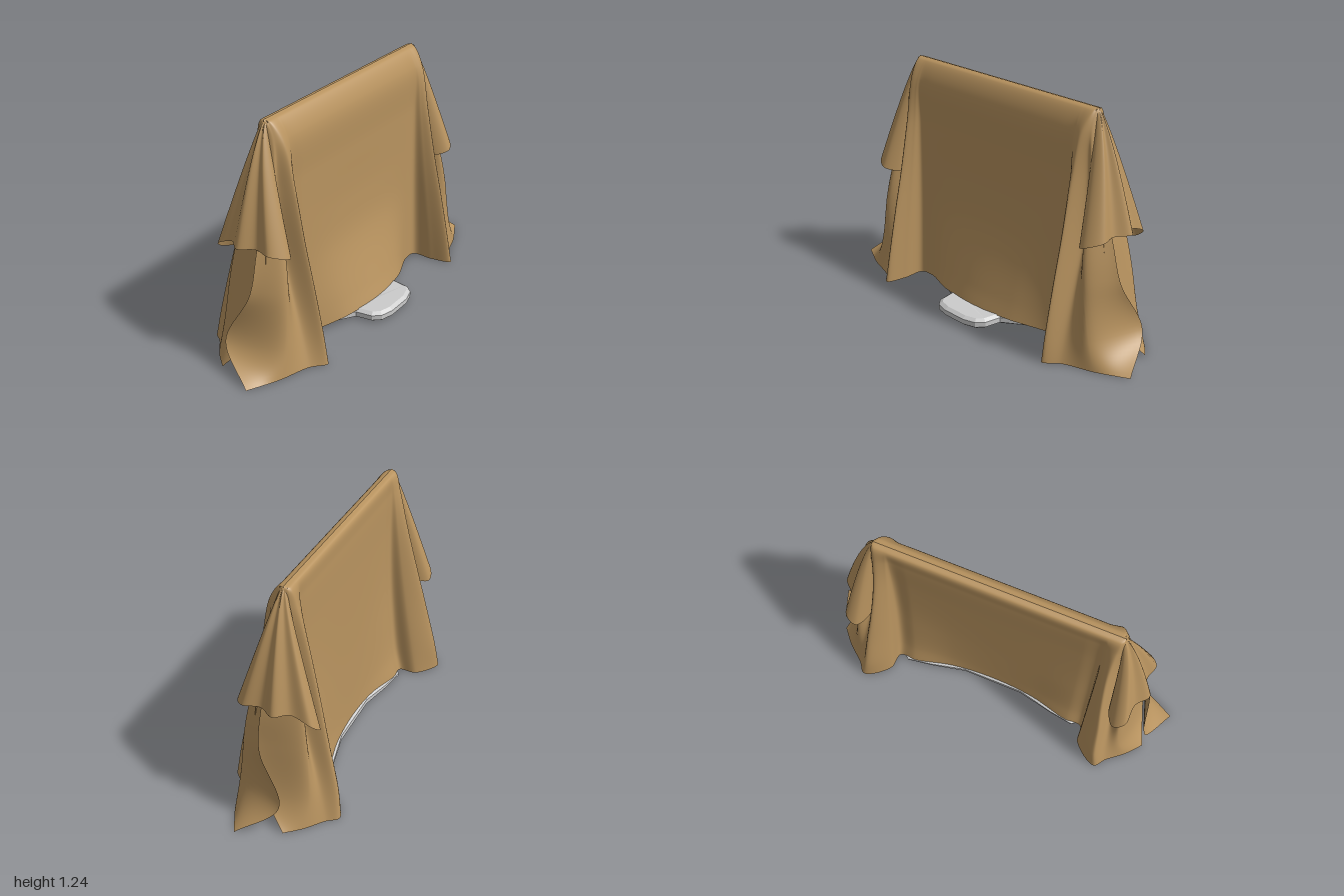
import * as THREE from 'three';

const V = (x, y, z) => new THREE.Vector3(x, y, z);
const cloth = new THREE.MeshStandardMaterial({ color: 0xb8935f, side: THREE.DoubleSide });
const grey = new THREE.MeshStandardMaterial({ color: 0xcccccc, flatShading: true });

// Smooth sheet through rows of control points (every row has the same count)
function sheet(name, rows, nu, nv) {
  const across = rows.map(r => new THREE.CatmullRomCurve3(r).getPoints(nu));
  const pos = [], index = [];
  for (let i = 0; i <= nu; i++) {
    for (const p of new THREE.CatmullRomCurve3(across.map(r => r[i])).getPoints(nv)) {
      pos.push(p.x, Math.max(0, p.y), p.z);
    }
  }
  for (let i = 0; i < nu; i++) {
    for (let j = 0; j < nv; j++) {
      const a = i * (nv + 1) + j, b = a + nv + 1;
      index.push(a, b, a + 1, b, b + 1, a + 1);
    }
  }
  const g = new THREE.BufferGeometry();
  g.setAttribute('position', new THREE.Float32BufferAttribute(pos, 3));
  g.setIndex(index);
  g.computeVertexNormals();
  const mesh = new THREE.Mesh(g, cloth);
  mesh.name = name;
  return mesh;
}

// Side drape levels: y, middle x, fin root x, fin tip x z, valley behind the fin x z,
// fold under the end flap x z, free edge x z
const LEFT = [
  [1.237, -.025, -.025, -.025, .62, -.025, .63, -.025, .635, -.025, .64],
  [1.225, .005, .005, .005, .625, -.005, .635, -.01, .64, -.02, .645],
  [1.13, .055, .055, .065, .61, .04, .64, .03, .65, 0, .66],
  [.9, .06, .06, .115, .6, .045, .645, .06, .675, .01, .7],
  [.62, .065, .065, .17, .6, .06, .65, .13, .71, .03, .8],
  [.42, .085, .07, .215, .6, .11, .655, .16, .74, .02, .85],
  [.15, .165, .08, .27, .6, .19, .665, .17, .79, -.1, .9],
  [0, .2, .085, .295, .6, .235, .68, .18, .84, .1, 1],
];
const RIGHT = [
  [1.237, -.025, -.025, -.025, .62, -.025, .63, -.025, .635, -.025, .64],
  [1.225, -.055, -.055, -.055, .625, -.05, .635, -.045, .64, -.03, .645],
  [1.13, -.062, -.062, -.085, .62, -.06, .645, -.05, .65, -.03, .66],
  [.9, -.065, -.065, -.14, .62, -.06, .66, -.08, .685, .01, .69],
  [.62, -.07, -.075, -.205, .64, -.1, .675, -.15, .72, .07, .775],
  [.42, -.075, -.09, -.25, .66, -.16, .695, -.18, .75, .06, .8],
  [.15, -.085, -.12, -.31, .68, -.24, .725, -.2, .79, 0, .85],
  [0, -.09, -.15, -.33, .7, -.275, .75, -.2, .84, -.12, .91],
];

function sideDrape(name, levels) {
  const rows = levels.map(([y, m, r, t, tz, vx, vz, ux, uz, ex, ez]) => {
    const lift = y < .01 ? .055 : 0; // hem rests on the foot in the middle
    const half = [
      V(m * .75 + r * .25, y + lift * .85, .24),
      V(r, y + lift * .4, .46),
      V(r, y + lift * .2, .55),
      V((r + t) / 2, y, .57),
      V(t, y, tz), V(vx, y, vz), V(ux, y, uz), V(ex, y, ez),
    ];
    const mirrored = half.map(p => V(p.x, p.y, -p.z)).reverse();
    return [...mirrored, V(m, y + lift, 0), ...half];
  });
  return sheet(name, rows, 192, 70);
}

// End flap: a fan of soft folds from the ridge end down to its short hem
const HEM = [
  [-.06, .58, .67], [-.17, .56, .675], [-.24, .55, .72], [-.22, .6, .78], [-.12, .645, .79],
  [-.05, .65, .845], [.03, .65, .8], [.12, .65, .82], [.18, .62, .74], [.13, .6, .68], [.05, .6, .66],
];
function endFlap(name, s) {
  const rows = [0, .04, .12, .3, .5, .75, 1].map(t => HEM.map(([x, y, z], i) => {
    const topX = -.045 + .04 * i / (HEM.length - 1);
    return V(
      THREE.MathUtils.lerp(topX, x, t),
      THREE.MathUtils.lerp(1.232, y, t),
      s * (.635 + (z - .635) * Math.pow(t, .7)),
    );
  }));
  return sheet(name, rows, 80, 48);
}

// Crescent foot with a front tongue, thinner towards its ends
function foot() {
  const half = [[.33, .07], [.31, .14], [.27, .175], [.18, .19], [.11, .29], [.03, .46],
    [-.05, .54], [-.12, .55], [-.16, .5], [-.14, .36], [-.1, .17]];
  const outline = [...half, ...half.map(([x, z]) => [x, -z]).reverse()];
  const shape = new THREE.Shape(outline.map(([x, z]) => new THREE.Vector2(x, z)));
  const g = new THREE.ExtrudeGeometry(shape, {
    depth: .027, bevelSize: .02, bevelOffset: -.02, bevelThickness: .014, bevelSegments: 1,
  });
  g.rotateX(-Math.PI / 2).translate(0, .014, 0);
  const p = g.attributes.position;
  for (let i = 0; i < p.count; i++) {
    p.setY(i, p.getY(i) * (1 - .55 * THREE.MathUtils.smoothstep(Math.abs(p.getZ(i)), .18, .5)));
  }
  g.computeVertexNormals();
  const mesh = new THREE.Mesh(g, grey);
  mesh.name = 'standFoot';
  return mesh;
}

export function createModel() {
  const model = new THREE.Group();
  model.name = 'drapedScreen';
  model.add(
    sideDrape('leftDrape', LEFT),
    sideDrape('rightDrape', RIGHT),
    endFlap('frontFlap', 1),
    endFlap('backFlap', -1),
    foot(),
  );
  return model;
}
